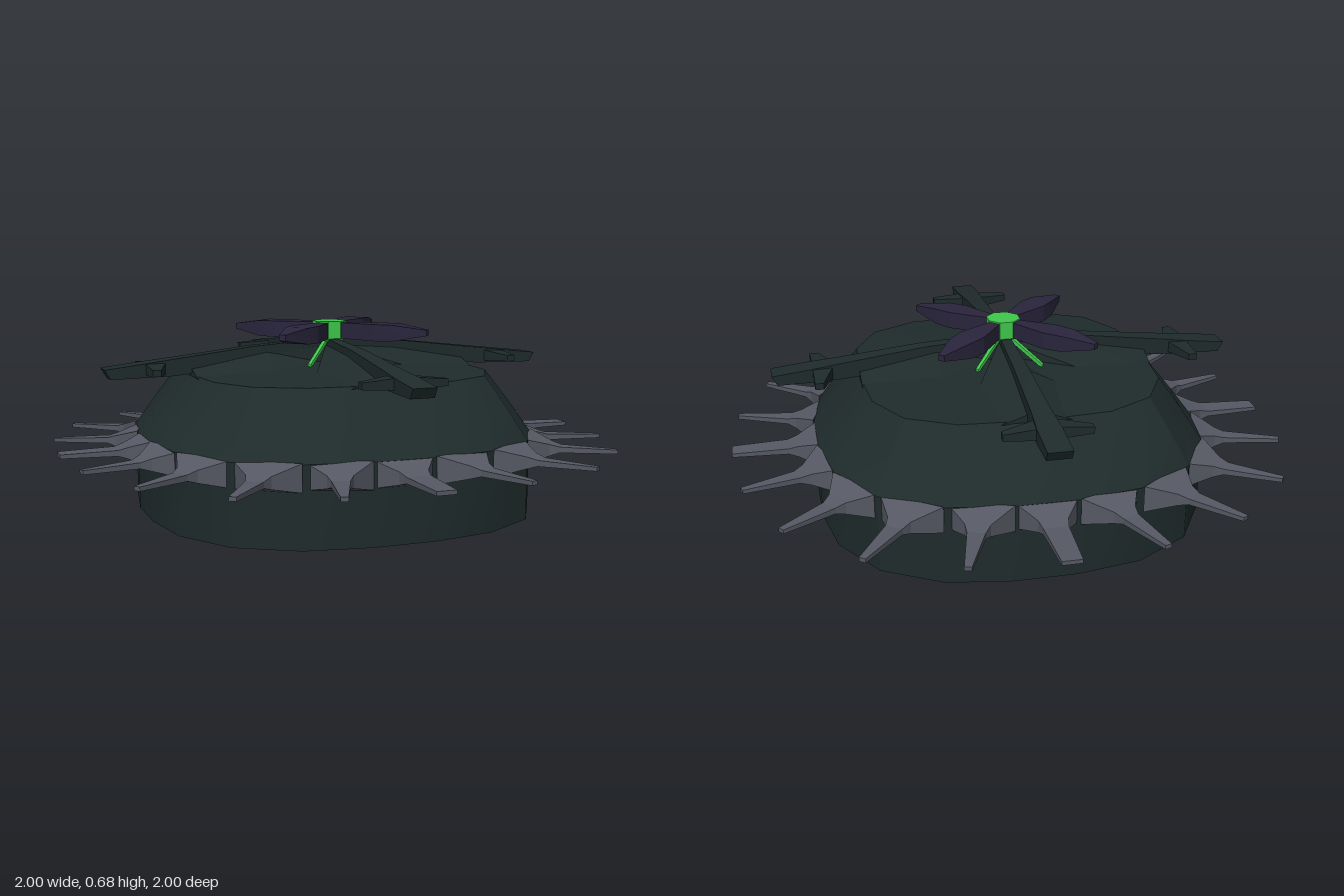
import * as THREE from 'three';
import { toCreasedNormals } from 'three/addons/utils/BufferGeometryUtils.js';

const material = (name, color) => {
  const m = new THREE.MeshStandardMaterial({ color });
  m.name = name;
  return m;
};

// Joins closed cross-sections of equal length and caps both ends.
function loft(rings, crease = 0.2) {
  const n = rings[0].length;
  const index = [];
  for (let i = 0; i < rings.length - 1; i++) {
    for (let j = 0; j < n; j++) {
      const a = i * n + j, b = i * n + (j + 1) % n;
      index.push(a, b, b + n, a, b + n, a + n);
    }
  }
  const last = (rings.length - 1) * n;
  for (let j = 1; j < n - 1; j++) {
    index.push(0, j + 1, j, last, last + j, last + j + 1);
  }
  const geometry = new THREE.BufferGeometry().setFromPoints(rings.flat());
  geometry.setIndex(index);
  return toCreasedNormals(geometry, crease);
}

// Four-cornered section at radius r; the lower corners may be pulled inward.
const section = (r, half, low, high, pull = 0) => [
  new THREE.Vector3(r - pull, low, half),
  new THREE.Vector3(r - pull, low, -half),
  new THREE.Vector3(r, high, -half),
  new THREE.Vector3(r, high, half),
];

// How far an angle lies towards a diagonal, 0 to 1: the hull is a rounded square.
const diagonal = (a) => Math.sin(2 * a) ** 2;

// Horizontal ring whose radius grows by extra on the diagonals.
function ring(r, y, extra = 0, sides = 20) {
  return Array.from({ length: sides }, (_, i) => {
    const a = ((i + 0.5) / sides) * Math.PI * 2;
    const rad = r + extra * diagonal(a);
    return new THREE.Vector3(Math.cos(a) * rad, y, -Math.sin(a) * rad);
  });
}

export function createModel() {
  const model = new THREE.Group();
  const hullColor = material('dark green hull', 0x1f2b2b);
  const steel = material('grey steel', 0x565964);
  const purple = material('dark purple', 0x2a253d);
  const green = material('bright green', 0x40c84c);

  const add = (name, geometry, mat, turn = 0) => {
    const mesh = new THREE.Mesh(geometry, mat);
    mesh.name = name;
    mesh.rotation.y = turn;
    model.add(mesh);
  };
  const fourTimes = (name, offset, geometry, mat) => {
    for (let i = 0; i < 4; i++) add(name, geometry, mat, offset + (i * Math.PI) / 2);
  };

  // Drum, sloping shoulder and nearly flat roof
  add('hull', loft([
    ring(0.7, 0, 0.06), ring(0.7, 0.28, 0.06), ring(0.612, 0.394, 0.068),
    ring(0.525, 0.5, 0.075), ring(0.15, 0.522), ring(0.02, 0.53),
  ], 0.4), hullColor);

  // Spikes round the waist, with flared roots that meet; broad on the four axes
  for (let i = 0; i < 20; i++) {
    const a = (i / 20) * Math.PI * 2;
    const root = 0.7 + 0.06 * diagonal(a);
    const broad = i % 5 === 0;
    add('waistSpike', loft([
      section(root - 0.02, root * 0.155, 0.19, 0.285),
      section(root + 0.065, broad ? 0.05 : 0.042, 0.215, 0.257),
      section(root + 0.1, broad ? 0.042 : 0.03, 0.226, 0.247),
      section(root + 0.3, broad ? 0.034 : 0.012, 0.229, 0.243),
    ]), steel, a);
  }

  // Ridges on the roof beneath the arms
  const ridgeSection = (r, half, low, high) => [
    new THREE.Vector3(r, low, half), new THREE.Vector3(r, low, -half),
    new THREE.Vector3(r, high, -0.022), new THREE.Vector3(r, high, 0.022),
  ];
  fourTimes('roofRidge', 0, loft([
    ridgeSection(0.02, 0.03, 0.52, 0.585), ridgeSection(0.25, 0.14, 0.512, 0.57),
    ridgeSection(0.53, 0.12, 0.492, 0.525),
  ]), hullColor);

  // Four drooping arms, each with a swept crossbar
  fourTimes('arm', 0, loft([
    section(0, 0.018, 0.54, 0.612), section(0.3, 0.026, 0.52, 0.592),
    section(0.6, 0.035, 0.498, 0.557), section(0.7, 0.042, 0.497, 0.546),
    section(0.84, 0.042, 0.495, 0.53, 0.02),
  ]), hullColor);

  const barSection = (z, r0, r1, low, high) => [
    new THREE.Vector3(r0, low, z), new THREE.Vector3(r1, low, z),
    new THREE.Vector3(r1, high, z), new THREE.Vector3(r0, high, z),
  ];
  fourTimes('crossbar', 0, loft([
    barSection(-0.15, 0.665, 0.695, 0.512, 0.535),
    barSection(-0.035, 0.625, 0.695, 0.505, 0.545),
    barSection(0.035, 0.625, 0.695, 0.505, 0.545),
    barSection(0.15, 0.665, 0.695, 0.512, 0.535),
  ]), hullColor);

  // Green hub on thin diagonal legs
  add('hub', loft([
    ring(0.045, 0.598, 0, 8), ring(0.062, 0.612, 0, 8), ring(0.062, 0.675, 0, 8),
  ]), green);
  fourTimes('hubLeg', Math.PI / 4, loft([
    section(0.03, 0.007, 0.596, 0.612), section(0.17, 0.006, 0.515, 0.53),
  ]), green);

  // Rotor blades on the diagonals
  fourTimes('rotorBlade', Math.PI / 4, loft([
    section(0.05, 0.02, 0.612, 0.67), section(0.2, 0.05, 0.61, 0.67),
    section(0.27, 0.044, 0.612, 0.669), section(0.385, 0.012, 0.632, 0.653),
  ]), purple);

  return model;
}
